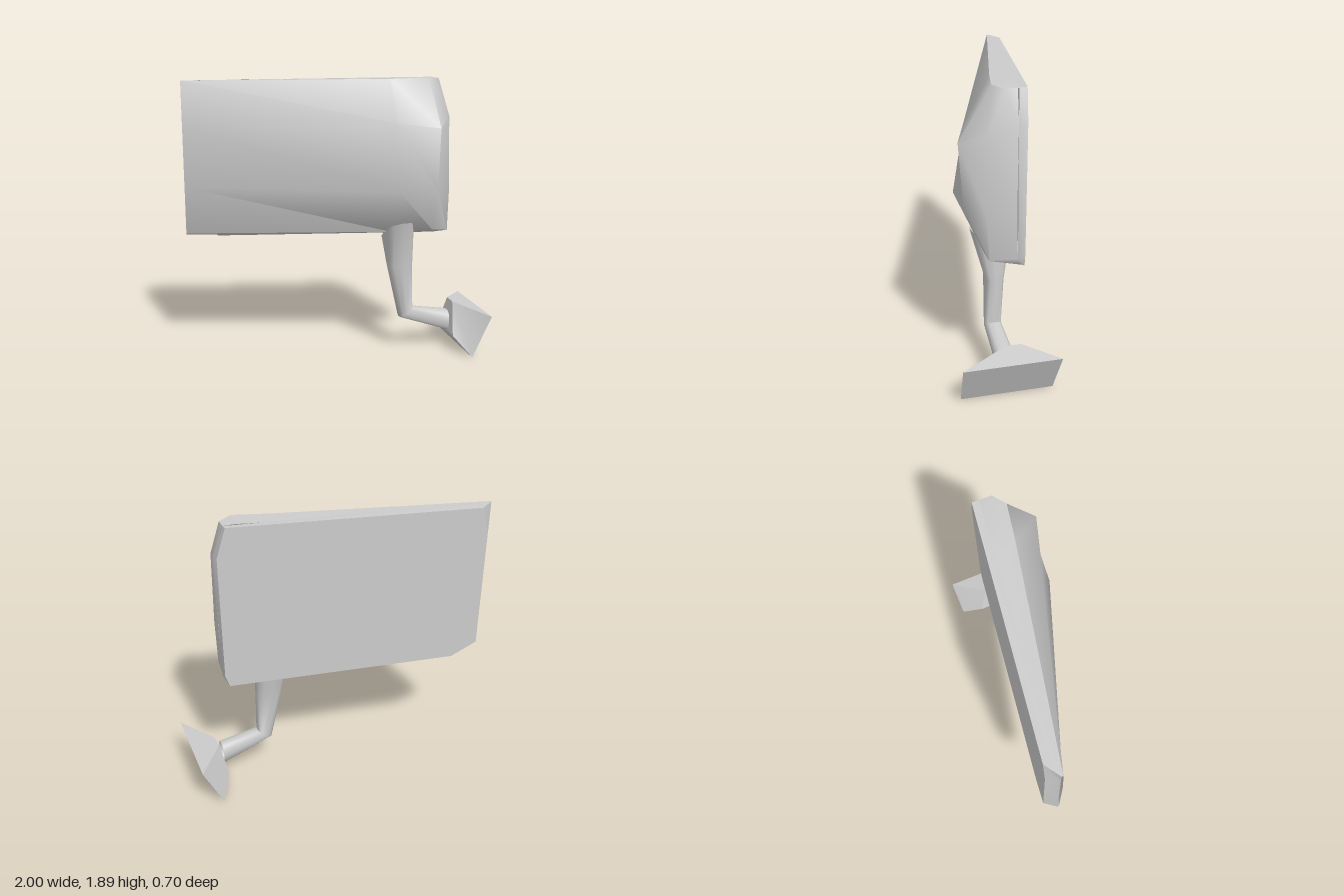
import * as THREE from 'three';
import { toCreasedNormals } from 'three/addons/utils/BufferGeometryUtils.js';

const grey = new THREE.MeshStandardMaterial({ color: 0xcccccc, side: THREE.DoubleSide });
grey.name = 'grey';

// Skin between successive cross-sections; closed joins the last point to the first
function loft(sections, closed) {
  const tris = [];
  for (let i = 0; i < sections.length - 1; i++) {
    const a = sections[i], b = sections[i + 1], n = a.length;
    for (let j = 0; j < (closed ? n : n - 1); j++) {
      const k = (j + 1) % n;
      tris.push(a[j], a[k], b[k], a[j], b[k], b[j]);
    }
  }
  return tris;
}

// Flat cap over a convex loop
function cap(loop) {
  const tris = [];
  for (let j = 1; j < loop.length - 1; j++) tris.push(loop[0], loop[j], loop[j + 1]);
  return tris;
}

function part(name, tris, crease) {
  const geo = new THREE.BufferGeometry();
  geo.setAttribute('position', new THREE.Float32BufferAttribute(tris.flat(), 3));
  const mesh = new THREE.Mesh(toCreasedNormals(geo, crease), grey);
  mesh.name = name;
  return mesh;
}

export function createModel() {
  const model = new THREE.Group();
  model.name = 'sideMirror';

  // Bulging front shell: columns from the thin outer edge to the inner end, each top to bottom
  const columns = [
    [[-1, 1.87, -0.27], [-1, 1.87, -0.26], [-1, 1.57, -0.25], [-1, 1.16, -0.25], [-1, 0.84, -0.25], [-1, 0.83, -0.26]],
    [[0.35, 1.88, -0.09], [0.35, 1.88, 0.05], [0.35, 1.6, 0.21], [0.35, 1.16, 0.28], [0.35, 0.86, 0.11], [0.35, 0.81, -0.1]],
    [[0.62, 1.89, -0.05], [0.6, 1.89, 0.1], [0.62, 1.57, 0.3], [0.62, 1.16, 0.27], [0.63, 0.87, 0.15], [0.62, 0.81, -0.07]],
    [[0.69, 1.885, -0.04], [0.69, 1.885, 0.04], [0.73, 1.64, 0.15], [0.74, 1.16, 0.16], [0.74, 0.86, 0.14], [0.73, 0.81, -0.05]],
    [[0.69, 1.885, -0.04], [0.69, 1.885, -0.03], [0.76, 1.7, -0.02], [0.76, 1.16, -0.02], [0.755, 0.86, -0.03], [0.735, 0.81, -0.06]],
  ];
  model.add(part('frontShell', loft(columns, false), 0.9));

  // Rim turning back from the shell to the flat rear plate
  const rim = [
    [-1, 1.7, -0.27], [-1, 1.87, -0.27], [0.69, 1.885, -0.04], [0.76, 1.7, -0.02],
    [0.76, 0.86, -0.03], [0.735, 0.81, -0.06], [-0.8, 0.83, -0.24], [-1, 0.83, -0.26],
  ];
  const plate = [
    [-0.95, 1.7], [-0.9, 1.865], [0.69, 1.89], [0.75, 1.7],
    [0.755, 0.88], [0.73, 0.8], [-0.78, 0.8], [-0.95, 0.89],
  ].map(([x, y]) => [x, y, -0.08 + 0.155 * (x - 0.73)]);
  model.add(part('rearRim', loft([rim, plate], true), 0.6));
  model.add(part('mirrorPlate', cap(plate), 0.1));

  // Bent arm: rings from edge a to edge b in x and y, z range, and slant of y along z
  const ring = ([ax, ay], [bx, by], z0, z1, slant) => {
    const pts = [];
    for (let j = 0; j < 12; j++) {
      const t = (j / 12) * Math.PI * 2;
      const square = (v) => Math.sign(v) * Math.pow(Math.abs(v), 0.7) / 2;
      const c = square(Math.cos(t)), s = square(Math.sin(t));
      pts.push([
        (ax + bx) / 2 + c * (bx - ax),
        (ay + by) / 2 + c * (by - ay) + s * slant,
        (z0 + z1) / 2 + s * (z1 - z0),
      ]);
    }
    return pts;
  };
  const rings = [
    ring([0.31, 0.85], [0.51, 0.87], -0.06, 0.19, 0.14),
    ring([0.345, 0.61], [0.525, 0.59], -0.02, 0.1, 0),
    ring([0.43, 0.235], [0.525, 0.3], 0, 0.11, 0),
    ring([0.79, 0.11], [0.79, 0.26], -0.01, 0.11, 0),
  ];
  model.add(part('arm', [...loft(rings, true), ...cap([...rings[0]].reverse())], 1.1));

  // Flared mounting foot with a flat slanted base
  const hub = [[0.83, 0.315, -0.04], [0.83, 0.315, 0.06], [0.785, 0.11, 0.2], [0.785, 0.11, -0.1]];
  const base = [[1, 0.285, -0.255], [1, 0.285, 0.36], [0.87, 0, 0.35], [0.87, 0, -0.24]];
  model.add(part('mountingFoot', [...loft([hub, base], true), ...cap(base), ...cap([...hub].reverse())], 0.5));

  return model;
}
